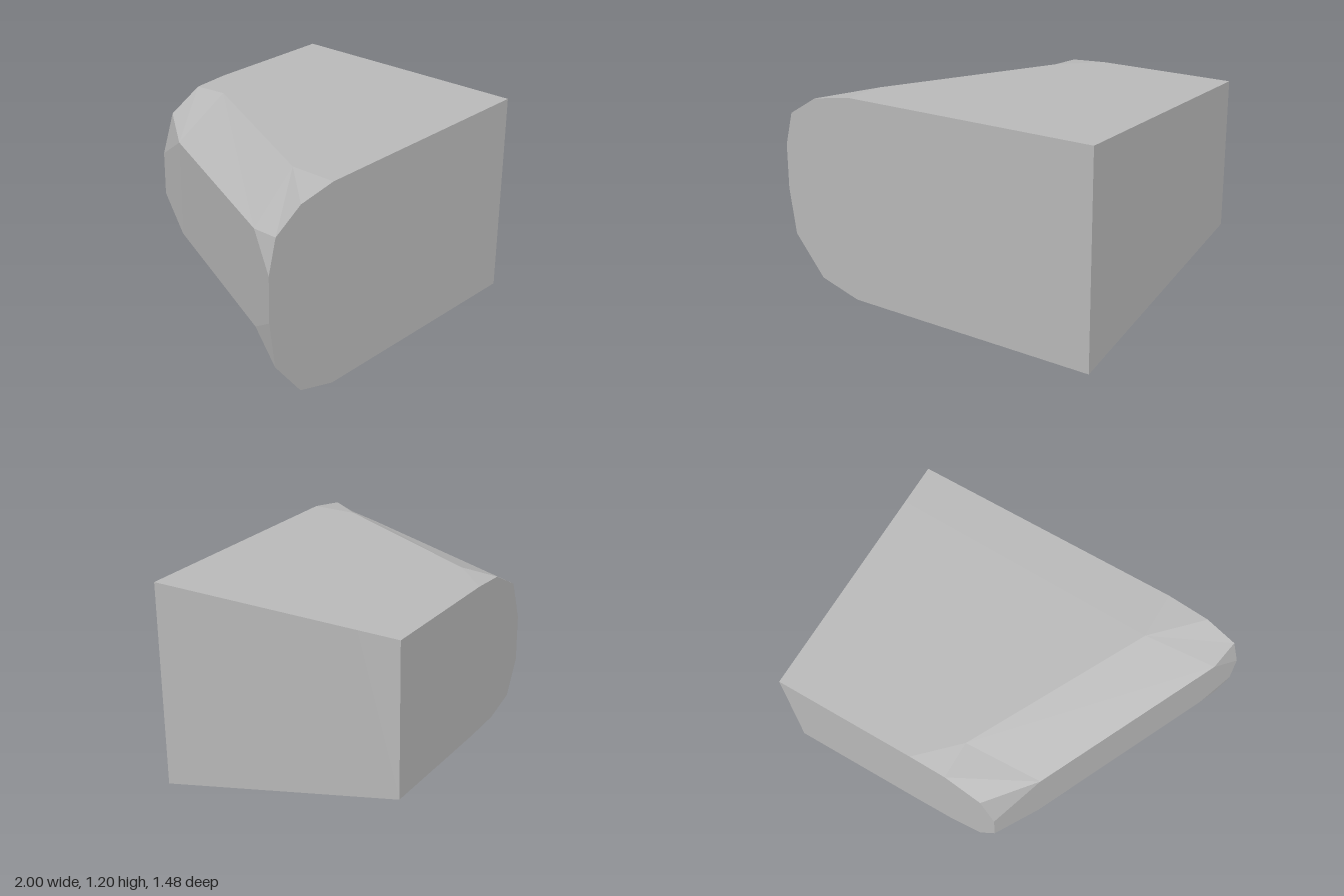
import * as THREE from 'three';

// End profiles (x, y), counter-clockwise from the lower left-hand corner
const frontProfile = [[1, 0], [1, 1.2], [-0.53, 1.2], [-0.77, 1.16], [-0.95, 1.05],
  [-1, 0.86], [-1, 0.6], [-0.96, 0.33], [-0.77, 0.1], [-0.52, 0.025]];
const backProfile = [[1, 0.345], [1, 1.2], [0.19, 1.2], [-0.02, 1.188], [-0.23, 1.08],
  [-0.31, 0.855], [-0.31, 0.6], [-0.21, 0.415], [-0.015, 0.36], [0.22, 0.35]];

// Inner rings: each rounded-off pair of end points meets in a single ridge point
const frontRidges = [[1, 0.056, 0.5], [1, 1.2, 0.5],
  [-0.53, 1.2, 0.47], [-0.92, 1.03, 0.57], [-0.92, 0.48, 0.57], [-0.56, 0.075, 0.5]];
const backRidges = [[1, 0.289, -0.5], [1, 1.2, -0.5],
  [-0.02, 1.2, -0.53], [-0.434, 1.037, -0.47], [-0.434, 0.47, -0.47], [-0.06, 0.3, -0.5]];

const HALF_DEPTH = 0.74;

function endRing(profile, z) {
  return profile.map(([x, y]) => new THREE.Vector3(x, y, z));
}

function ridgeRing(points) {
  return [0, 1, 2, 2, 3, 3, 4, 4, 5, 5].map((i) => new THREE.Vector3(...points[i]));
}

function makeGeometry(triangles) {
  const solid = triangles.filter((t) => new THREE.Triangle(...t).getArea() > 1e-7);
  const geometry = new THREE.BufferGeometry().setFromPoints(solid.flat());
  geometry.computeVertexNormals();
  return geometry;
}

// Skin between consecutive rings, running from front to back
function loft(rings) {
  const triangles = [];
  for (let r = 0; r < rings.length - 1; r++) {
    const a = rings[r];
    const b = rings[r + 1];
    for (let i = 0; i < a.length; i++) {
      const j = (i + 1) % a.length;
      triangles.push([a[i], b[i], a[j]], [b[i], b[j], a[j]]);
    }
  }
  return makeGeometry(triangles);
}

// Fan over a convex end profile
function cap(ring, flip) {
  const triangles = [];
  for (let i = 1; i < ring.length - 1; i++) {
    triangles.push(flip ? [ring[0], ring[i + 1], ring[i]] : [ring[0], ring[i], ring[i + 1]]);
  }
  return makeGeometry(triangles);
}

export function createModel() {
  const group = new THREE.Group();
  group.name = 'taperedBlock';
  const grey = new THREE.MeshStandardMaterial({ color: 0xb8b8b8, flatShading: true });
  grey.name = 'plain grey';

  const front = endRing(frontProfile, HALF_DEPTH);
  const back = endRing(backProfile, -HALF_DEPTH);

  const add = (name, geometry) => {
    const mesh = new THREE.Mesh(geometry, grey);
    mesh.name = name;
    group.add(mesh);
  };
  add('bodySkin', loft([front, ridgeRing(frontRidges), ridgeRing(backRidges), back]));
  add('frontFace', cap(front, false));
  add('backFace', cap(back, true));
  return group;
}
